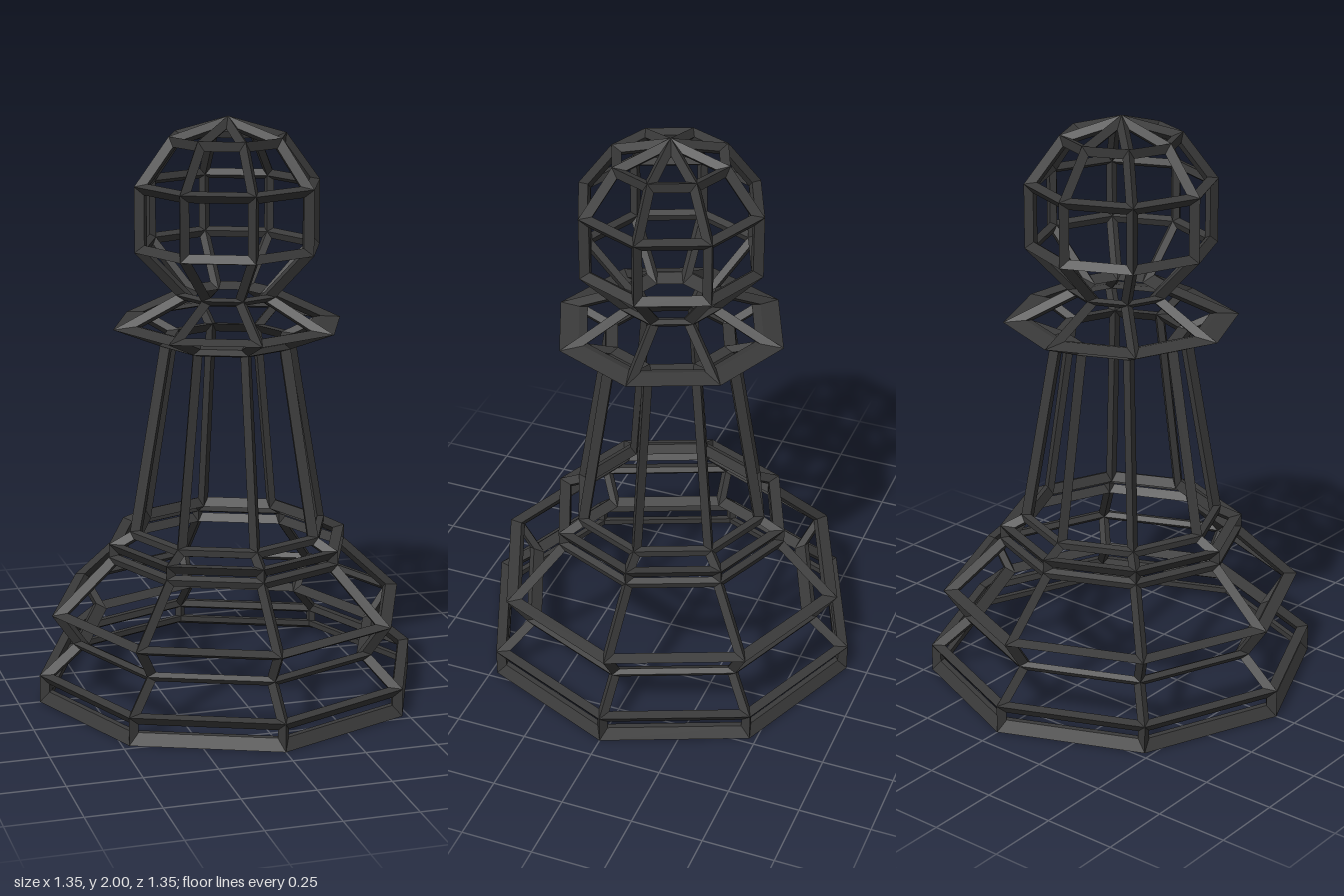
import * as THREE from 'three';

const SIDES = 8;
const HALF = 0.02; // half the bar thickness
const C = Math.cos(Math.PI / SIDES);

// Outer profile [radius, height] from foot to crown
const OUTER = [
  [0.675, 0], [0.675, 0.097], [0.555, 0.2], [0.628, 0.307],
  [0.425, 0.5], [0.425, 0.547], [0.35, 0.585],
  [0.24, 1.23], [0.402, 1.295], [0.183, 1.402],
  [0.325, 1.553], [0.325, 1.775], [0.205, 1.938], [0, 2],
];

// Normal of each band of facets, as [radial, up]; the first is the floor
function bandNormals() {
  const normals = [[0, -1]];
  for (let k = 0; k + 1 < OUTER.length; k++) {
    const dr = (OUTER[k + 1][0] - OUTER[k][0]) * C, dy = OUTER[k + 1][1] - OUTER[k][1];
    const len = Math.hypot(dr, dy);
    normals.push([dy / len, -dr / len]);
  }
  return normals;
}

// Profile shifted inward by a distance, with mitred corners
function shifted(distance) {
  const n = bandNormals();
  return OUTER.map(([r, y], k) => {
    if (k === OUTER.length - 1) return [0, y - distance / n[k][1]];
    const [a, b] = n[k], [c, d] = n[k + 1];
    const det = (a * d - b * c) * C;
    return [r - distance * (d - b) / det, y - distance * (a - c) * C / det];
  });
}

const LAYERS = [OUTER, shifted(HALF), shifted(2 * HALF)];

function point(layer, k, i) {
  const [r, y] = LAYERS[layer][k], a = (i / SIDES) * Math.PI * 2;
  return new THREE.Vector3(r * Math.sin(a), y, r * Math.cos(a));
}

// Corners of a face moved into the face by the half thickness
function inset(corners) {
  const n = corners.length;
  return corners.map((v, j) => {
    const d1 = corners[(j + 1) % n].clone().sub(v).normalize();
    const d2 = corners[(j + n - 1) % n].clone().sub(v).normalize();
    const sin = d1.clone().cross(d2).length();
    return v.clone().addScaledVector(d1.add(d2), HALF / sin);
  });
}

// Half bars, diamond in section, around the border of one face
function frameFace(positions, ids) {
  const [out, mid, inn] = [0, 1, 2].map(l => ids.map(([k, i]) => point(l, k, i)));
  const rim = inset(mid);
  const quad = (a, b, c, d) => [a, b, c, a, c, d].forEach(p => positions.push(p.x, p.y, p.z));
  ids.forEach((_, j) => {
    const m = (j + 1) % ids.length;
    quad(out[j], out[m], rim[m], rim[j]);
    quad(inn[m], inn[j], rim[j], rim[m]);
  });
}

export function createModel() {
  const group = new THREE.Group();
  const material = new THREE.MeshStandardMaterial({ color: 0x3a3a3a, flatShading: true });

  // Lattice part made of the bands between two profile points
  function addPart(name, from, to, withFloor = false) {
    const positions = [];
    for (let k = from; k < to; k++) {
      for (let i = 0; i < SIDES; i++) {
        const ids = [[k, i], [k, i + 1], [k + 1, i + 1]];
        if (k + 1 < OUTER.length - 1) ids.push([k + 1, i]);
        frameFace(positions, ids);
      }
    }
    if (withFloor) frameFace(positions, Array.from({ length: SIDES }, (_, i) => [0, SIDES - i]));
    const geometry = new THREE.BufferGeometry();
    geometry.setAttribute('position', new THREE.Float32BufferAttribute(positions, 3));
    geometry.computeVertexNormals();
    const mesh = new THREE.Mesh(geometry, material);
    mesh.name = name;
    group.add(mesh);
  }

  addPart('base', 0, 4, true);
  addPart('baseRim', 4, 6);
  addPart('column', 6, 7);
  addPart('collar', 7, 9);
  addPart('head', 9, 13);
  return group;
}
